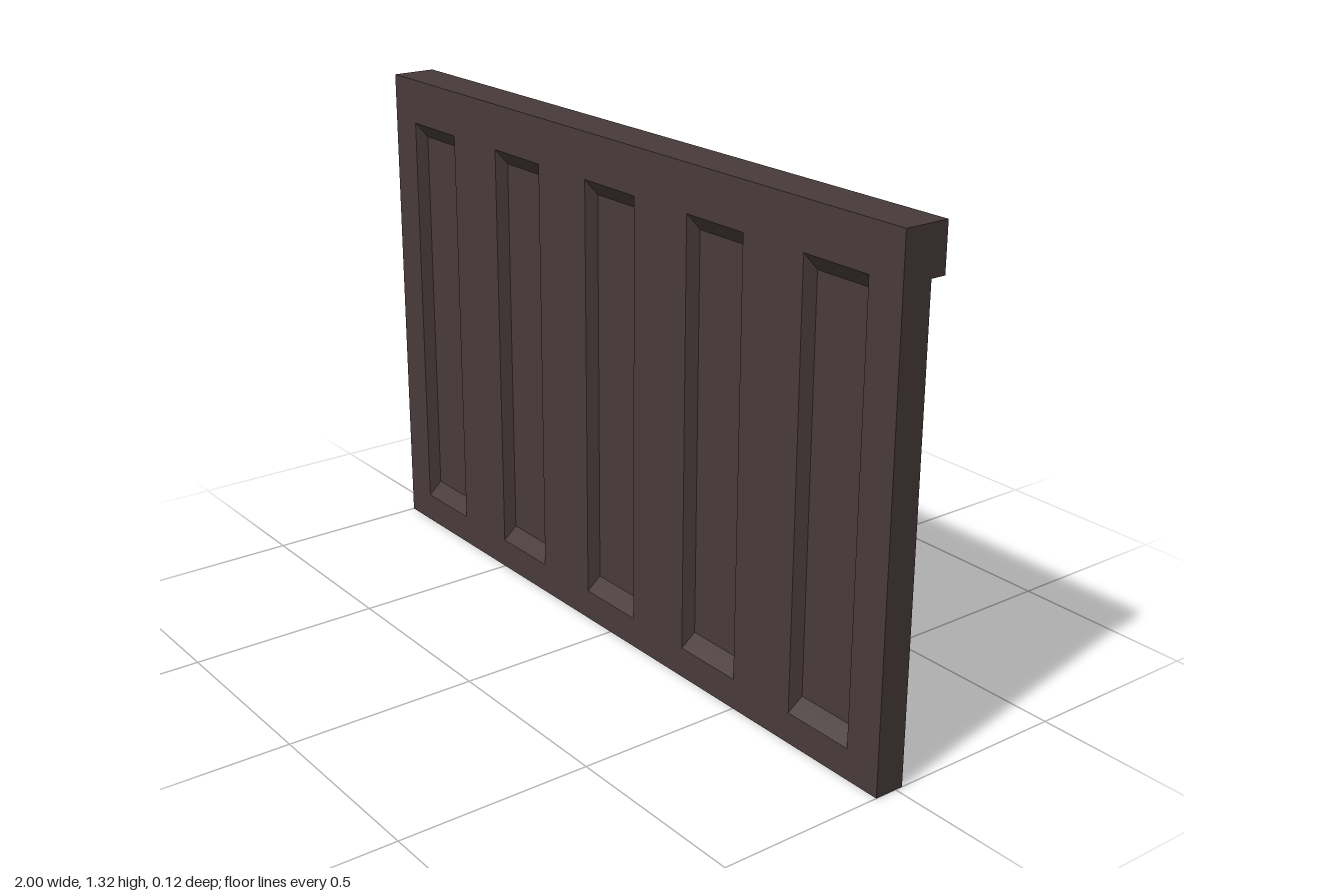
import * as THREE from 'three';

const HALF = 1, TOP = 1.32, LIP = 1.2;
const FRONT = 0.06, BACK = -0.02, LIP_BACK = -0.06, FLOOR = 0.03;

// Rectangle corners, counter-clockwise as seen from the front
const rect = (x0, x1, y0, y1, z) => [[x0, y0, z], [x1, y0, z], [x1, y1, z], [x0, y1, z]];

// Flat-shaded geometry from a list of four-cornered faces
function quads(faces) {
  const pos = faces.flatMap(([a, b, c, d]) => [a, b, c, a, c, d].flat());
  const g = new THREE.BufferGeometry();
  g.setAttribute('position', new THREE.Float32BufferAttribute(pos, 3));
  g.computeVertexNormals();
  return g;
}

export function createModel() {
  const model = new THREE.Group();
  model.name = 'panelledWall';
  const darkWood = new THREE.MeshStandardMaterial({ color: 0x483a3a });
  darkWood.name = 'darkWood';
  const add = (name, geometry) => {
    const mesh = new THREE.Mesh(geometry, darkWood);
    mesh.name = name;
    model.add(mesh);
  };

  // Front face, with five openings
  const face = new THREE.Shape(rect(-HALF, HALF, 0, TOP, 0).map(([x, y]) => new THREE.Vector2(x, y)));
  const centres = [-0.8, -0.4, 0, 0.4, 0.8];
  for (const c of centres) {
    const hole = rect(c - 0.1, c + 0.1, 0.08, 1.2, 0).map(([x, y]) => new THREE.Vector2(x, y));
    face.holes.push(new THREE.Path(hole.reverse()));
  }
  add('frontFace', new THREE.ShapeGeometry(face).translate(0, 0, FRONT));

  // Recessed panels: four sloping sides and a flat floor
  centres.forEach((c, n) => {
    const rim = rect(c - 0.1, c + 0.1, 0.08, 1.2, FRONT);
    const floor = rect(c - 0.087, c + 0.087, 0.12, 1.16, FLOOR);
    const sides = rim.map((p, i) => {
      const j = (i + 1) % 4;
      return [p, rim[j], floor[j], floor[i]];
    });
    add('recessedPanel' + (n + 1), quads([floor, ...sides]));
  });

  // Slab back, underside, top and overhanging rear lip, swept along x
  const profile = [[0, FRONT], [0, BACK], [LIP, BACK], [LIP, LIP_BACK], [TOP, LIP_BACK], [TOP, FRONT]];
  const strips = profile.slice(1).map(([y1, z1], i) => {
    const [y0, z0] = profile[i];
    return [[HALF, y0, z0], [-HALF, y0, z0], [-HALF, y1, z1], [HALF, y1, z1]];
  });
  add('backAndLip', quads(strips));

  // L-shaped ends
  const end = (x) => [
    [[x, 0, FRONT], [x, 0, BACK], [x, LIP, BACK], [x, LIP, FRONT]],
    [[x, LIP, FRONT], [x, LIP, LIP_BACK], [x, TOP, LIP_BACK], [x, TOP, FRONT]],
  ];
  add('leftEnd', quads(end(HALF)));
  add('rightEnd', quads(end(-HALF).map((q) => q.reverse())));

  return model;
}
